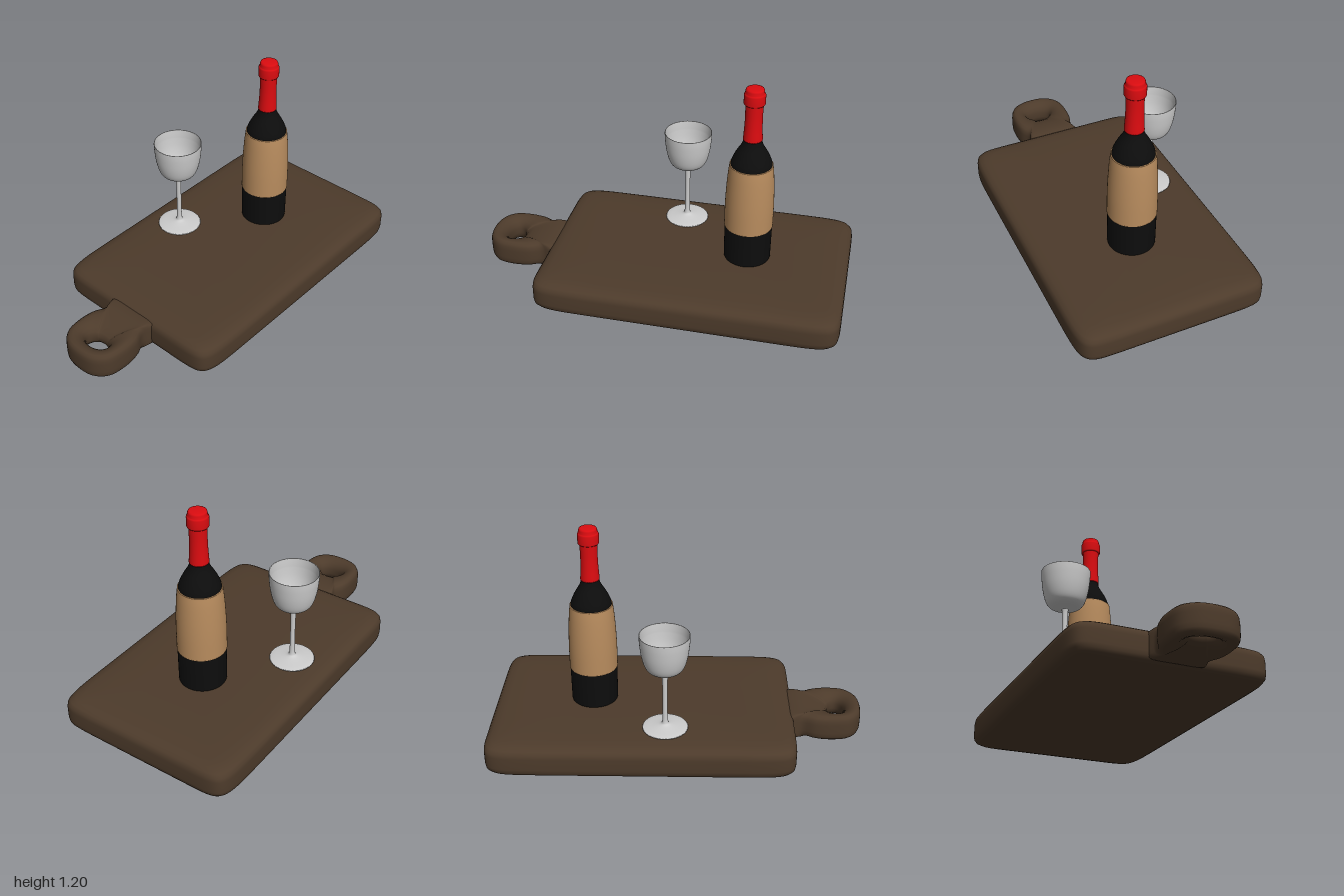
import * as THREE from 'three';

const mat = (name, color) => {
  const m = new THREE.MeshStandardMaterial({ color });
  m.name = name;
  return m;
};

// Skins a grid of points: rows follow the profile, columns run round the outline.
function loft(rows, cols, closed, point) {
  const pos = [], idx = [];
  for (let i = 0; i < rows; i++)
    for (let j = 0; j < cols; j++) pos.push(...point(i, j));
  for (let i = 0; i < (closed ? rows : rows - 1); i++)
    for (let j = 0; j < cols; j++) {
      const i2 = (i + 1) % rows, j2 = (j + 1) % cols;
      const a = i * cols + j, b = i2 * cols + j, c = i * cols + j2, d = i2 * cols + j2;
      idx.push(a, b, c, b, d, c);
    }
  const g = new THREE.BufferGeometry();
  g.setAttribute('position', new THREE.Float32BufferAttribute(pos, 3));
  g.setIndex(idx);
  g.computeVertexNormals();
  return g;
}

// Completes a top-half profile of [inset, y] pairs with its mirror about height mid.
const mirrorProfile = (half, mid) =>
  half.concat(half.map(([t, y]) => [t, 2 * mid - y]).reverse());

function lathe(points) {
  return new THREE.LatheGeometry(points.map(([r, y]) => new THREE.Vector2(r, y)), 48);
}

// Smooth curve through [radius, y] points.
const smooth = (points, n) =>
  new THREE.SplineCurve(points.map(([r, y]) => new THREE.Vector2(r, y)))
    .getPoints(n).map(p => [Math.max(p.x, 0), p.y]);

// Slab with softly bowed sides and rounded rims
function boardGeometry() {
  const hx = 0.515, hz = 0.812, cz = -0.188, cols = 96;
  const profile = mirrorProfile([
    [hx, 0.195], [0.3, 0.195], [0.15, 0.193], [0.07, 0.188], [0.035, 0.18],
    [0.014, 0.168], [0.003, 0.152], [0, 0.13],
  ], 0.0975);
  const bow = v => Math.sign(v) * Math.abs(v) ** (2 / 14);
  return loft(profile.length, cols, false, (i, j) => {
    const a = (j + 0.5) / cols * Math.PI * 2, [inset, y] = profile[i];
    return [bow(Math.sin(a)) * (hx - inset), y, cz + bow(Math.cos(a)) * (hz - inset)];
  });
}

// Handle ring blended from its outer outline to the oval hole
function handleGeometry() {
  const side = [[0.09, 0.985], [0.15, 0.93], [0.168, 0.83], [0.16, 0.74],
    [0.132, 0.67], [0.148, 0.62], [0.15, 0.58]];
  const outline = [[0, 1], ...side, [0, 0.57],
    ...side.map(([x, z]) => [-x, z]).reverse()];
  const cols = 80, hz = 0.865;
  const curve = new THREE.CatmullRomCurve3(
    outline.map(([x, z]) => new THREE.Vector3(x, 0, z)), true);
  const outer = curve.getSpacedPoints(cols);
  const profile = mirrorProfile([
    [1, 0.115], [0.95, 0.135], [0.82, 0.155], [0.6, 0.169], [0.38, 0.175],
    [0.2, 0.173], [0.08, 0.163], [0.02, 0.148], [0, 0.125],
  ], 0.1);
  return loft(profile.length, cols, true, (i, j) => {
    const p = outer[j], [t, y] = profile[i];
    const a = Math.atan2(p.x, p.z - hz);
    return [
      THREE.MathUtils.lerp(p.x, 0.072 * Math.sin(a), t), y,
      THREE.MathUtils.lerp(p.z, hz + 0.045 * Math.cos(a), t),
    ];
  });
}

export function createModel() {
  const wood = mat('dark wood', 0x4d3b2b);
  const black = mat('black glass', 0x0d0d0d);
  const paper = mat('tan label', 0xb88c5e);
  const red = mat('red foil', 0xdc0c10);
  const clear = mat('pale glass', 0xcccccc);
  clear.side = THREE.DoubleSide;

  const model = new THREE.Group();
  model.name = 'servingBoardSet';
  const add = (parent, name, geometry, material) => {
    const m = new THREE.Mesh(geometry, material);
    m.name = name;
    parent.add(m);
    return m;
  };

  // Serving board
  const board = new THREE.Group();
  board.name = 'servingBoard';
  add(board, 'boardSlab', boardGeometry(), wood);
  add(board, 'boardHandle', handleGeometry(), wood);
  model.add(board);

  // Bottle
  const bottle = new THREE.Group();
  bottle.name = 'bottle';
  bottle.position.set(0, 0, -0.455);
  add(bottle, 'bottleBody', lathe([
    [0, 0.197], [0.118, 0.197], [0.123, 0.2], [0.125, 0.207], [0.126, 0.4], [0.126, 0.55],
    ...smooth([[0.12, 0.66], [0.108, 0.765], [0.098, 0.8], [0.08, 0.837],
      [0.059, 0.872], [0.048, 0.9], [0.046, 0.92]], 24),
  ]), black);
  add(bottle, 'label', lathe([
    [0.124, 0.398], [0.129, 0.398], [0.129, 0.4],
    ...smooth([[0.129, 0.41], [0.1285, 0.52], [0.125, 0.62], [0.119, 0.71], [0.113, 0.763]], 16),
    [0.113, 0.765], [0.105, 0.766],
  ]), paper);
  add(bottle, 'neckFoil', lathe([
    [0.04, 0.909], [0.05, 0.909], [0.05, 0.913],
    ...smooth([[0.049, 0.93], [0.046, 0.98], [0.0445, 1.04], [0.046, 1.108]], 14),
  ]), red);
  add(bottle, 'neckCollar', lathe([
    [0.044, 1.108], [0.052, 1.108], [0.055, 1.113], [0.055, 1.16], [0.052, 1.167],
    [0.048, 1.17], [0.048, 1.183], [0.045, 1.191], [0.038, 1.195], [0, 1.196],
  ]), red);
  model.add(bottle);

  // Wine glass
  const glass = new THREE.Group();
  glass.name = 'wineGlass';
  glass.position.set(-0.298, 0, -0.062);
  add(glass, 'glassFootAndStem', lathe([
    [0, 0.197], [0.117, 0.197], [0.12, 0.2], [0.117, 0.204],
    ...smooth([[0.09, 0.208], [0.05, 0.214], [0.024, 0.221], [0.016, 0.235],
      [0.0135, 0.28], [0.013, 0.4], [0.015, 0.5], [0.018, 0.526]], 28),
  ]), clear);
  add(glass, 'glassBowl', lathe([
    ...smooth([[0.014, 0.515], [0.022, 0.529], [0.06, 0.536], [0.088, 0.55], [0.106, 0.58],
      [0.12, 0.635], [0.128, 0.7], [0.13, 0.744]], 30),
    [0.129, 0.746], [0.126, 0.744],
    ...smooth([[0.124, 0.7], [0.116, 0.637], [0.102, 0.584], [0.084, 0.556],
      [0.05, 0.543], [0, 0.541]], 24),
  ]), clear);
  model.add(glass);

  return model;
}
